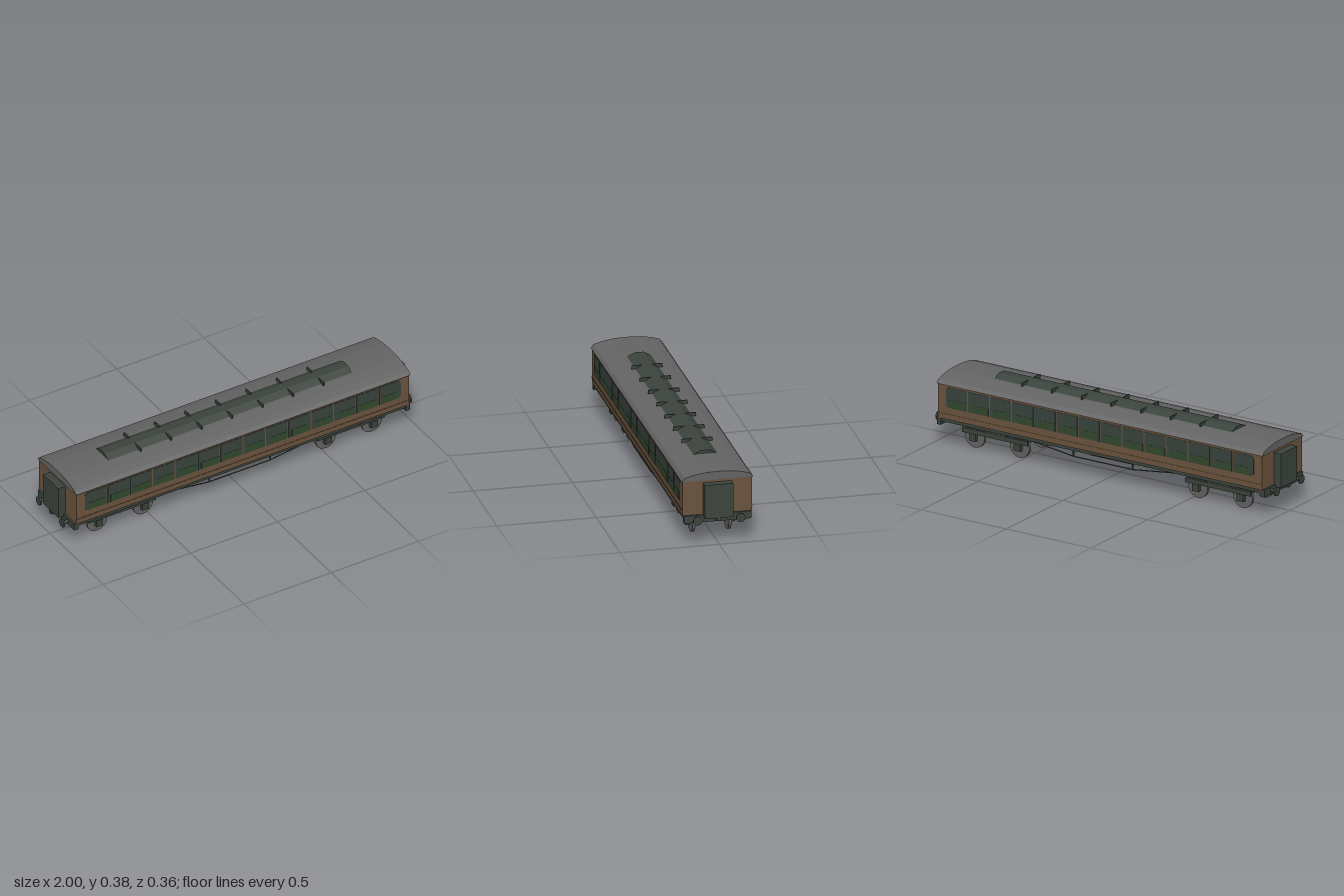
import * as THREE from 'three';

const material = (name, color) => Object.assign(new THREE.MeshStandardMaterial({ color }), { name });

export function createModel() {
  const wood = material('brown panelling', 0x6b533d);
  const roofGrey = material('roof grey', 0x646464);
  const dark = material('dark green black', 0x3b443c);
  const glass = material('dark glass', 0x39433e);
  const seatGreen = material('seat green', 0x31482d);
  const wheelGrey = material('wheel grey', 0x626262);

  const model = new THREE.Group();
  model.name = 'railwayCarriage';

  const add = (parent, name, geometry, mat, x = 0, y = 0, z = 0) => {
    const mesh = new THREE.Mesh(geometry, mat);
    mesh.name = name;
    mesh.position.set(x, y, z);
    parent.add(mesh);
    return mesh;
  };
  // Box given by its limits in x, y and z
  const box = (parent, name, mat, x0, x1, y0, y1, z0, z1) =>
    add(parent, name, new THREE.BoxGeometry(x1 - x0, y1 - y0, z1 - z0), mat,
      (x0 + x1) / 2, (y0 + y1) / 2, (z0 + z1) / 2);
  // Symmetric end profile, [z, y] from the right edge to the middle, extruded along x
  const along = (half, x0, x1) => {
    const points = [...half, ...half.map(([z, y]) => [-z, y]).reverse()];
    const shape = new THREE.Shape(points.map(([z, y]) => new THREE.Vector2(z, y)));
    return new THREE.ExtrudeGeometry(shape, { depth: x1 - x0, bevelEnabled: false })
      .rotateY(Math.PI / 2).translate(x0, 0, 0);
  };
  // Round bar between two points
  const rod = (parent, name, mat, a, b, radius) => {
    const start = new THREE.Vector3(...a), end = new THREE.Vector3(...b);
    const dir = end.clone().sub(start);
    const mesh = add(parent, name, new THREE.CylinderGeometry(radius, radius, dir.length(), 8), mat);
    mesh.position.copy(start).add(end).multiplyScalar(0.5);
    mesh.quaternion.setFromUnitVectors(new THREE.Vector3(0, 1, 0), dir.normalize());
    return mesh;
  };

  // Body and floor
  box(model, 'body', wood, -0.955, 0.955, 0.146, 0.327, -0.175, 0.175);
  box(model, 'underframe', dark, -0.95, 0.95, 0.128, 0.146, -0.168, 0.168);

  // Roof in three lengths
  const roofProfile = [[0.18, 0.325], [0.166, 0.342], [0.127, 0.354], [0.075, 0.363], [0.03, 0.366]];
  [[-0.96, -0.83], [-0.83, 0.83], [0.83, 0.96]].forEach(([a, b]) =>
    add(model, 'roof', along(roofProfile, a, b), roofGrey));

  // Raised roof light with cross ribs
  add(model, 'roofLight', along([[0.068, 0.36], [0.022, 0.382]], -0.7, 0.7), dark);
  for (let i = -3; i <= 3; i++)
    box(model, 'roofRib', dark, i * 0.175 - 0.003, i * 0.175 + 0.003, 0.355, 0.382, -0.078, 0.078);

  // Windows: 14 a side, outer corners rounded on the end ones
  const windowShape = (left, right) => {
    const w = 0.0615, h = 0.0525, r = 0.022, s = new THREE.Shape();
    const l = left ? r : 0, q = right ? r : 0;
    s.moveTo(-w + l, -h).lineTo(w - q, -h).quadraticCurveTo(w, -h, w, -h + q)
      .lineTo(w, h - q).quadraticCurveTo(w, h, w - q, h)
      .lineTo(-w + l, h).quadraticCurveTo(-w, h, -w, h - l)
      .lineTo(-w, -h + l).quadraticCurveTo(-w, -h, -w + l, -h);
    return new THREE.ExtrudeGeometry(s, { depth: 0.003, bevelEnabled: false });
  };
  [0, Math.PI].forEach((turn) => {
    const side = new THREE.Group();
    side.name = 'sideDetails';
    side.rotation.y = turn;
    model.add(side);
    for (let i = 0; i < 14; i++) {
      const x = (i - 6.5) * 0.13;
      add(side, 'window', windowShape(i === 0, i === 13), glass, x, 0.261, 0.174);
      box(side, 'seatBack', seatGreen, x - 0.045, x + 0.058 - (i === 13 ? 0.015 : 0),
        0.21, 0.25, 0.174, 0.178);
    }
    box(side, 'waistMoulding', wood, -0.955, 0.955, 0.17, 0.175, 0.174, 0.177);

    // Truss rod and its two posts
    const z = 0.147;
    const path = [[-0.48, 0.13, z], [-0.175, 0.091, z], [0.175, 0.091, z], [0.48, 0.13, z]];
    for (let i = 0; i < 3; i++) rod(side, 'trussRod', dark, path[i], path[i + 1], 0.003);
    [-0.175, 0.175].forEach((x) => rod(side, 'trussPost', dark, [x, 0.09, z], [x, 0.13, z], 0.004));
  });

  // Equipment box under the middle
  box(model, 'equipmentBox', dark, -0.125, 0.125, 0.086, 0.13, -0.077, 0.077);

  // Ends: gangway, buffer beam, buffers and coupling
  [0, Math.PI].forEach((turn) => {
    const end = new THREE.Group();
    end.name = 'carriageEnd';
    end.rotation.y = turn;
    model.add(end);
    box(end, 'gangway', dark, 0.95, 0.995, 0.135, 0.311, -0.071, 0.071);
    box(end, 'bufferBeam', dark, 0.94, 0.965, 0.109, 0.147, -0.17, 0.17);
    box(end, 'coupling', dark, 0.96, 0.997, 0.12, 0.136, -0.011, 0.011);
    [-0.108, 0.108].forEach((z) => {
      rod(end, 'bufferStem', dark, [0.96, 0.129, z], [0.992, 0.129, z], 0.009);
      add(end, 'bufferHead', new THREE.CylinderGeometry(0.023, 0.023, 0.008, 24).rotateZ(Math.PI / 2),
        dark, 0.996, 0.129, z);
    });
  });

  // Bogies
  [-0.657, 0.657].forEach((centre) => {
    const bogie = new THREE.Group();
    bogie.name = 'bogie';
    bogie.position.x = centre;
    model.add(bogie);
    box(bogie, 'bolster', dark, -0.065, 0.065, 0.095, 0.13, -0.118, 0.118);
    [-1, 1].forEach((s) => {
      const frame = box(bogie, 'bogieFrame', dark, -0.193, 0.193, 0.076, 0.1, -0.007, 0.007);
      frame.position.z = s * 0.113;
      [-0.132, 0.132].forEach((x) => {
        const axleBox = box(bogie, 'axleBox', dark, x - 0.019, x + 0.019, 0.04, 0.077, -0.01, 0.01);
        axleBox.position.z = s * 0.113;
        add(bogie, 'wheel', new THREE.CylinderGeometry(0.057, 0.057, 0.014, 32).rotateX(Math.PI / 2),
          wheelGrey, x, 0.057, s * 0.091);
      });
    });
    [-0.132, 0.132].forEach((x) =>
      rod(bogie, 'axle', dark, [x, 0.057, -0.11], [x, 0.057, 0.11], 0.007));
  });

  return model;
}
